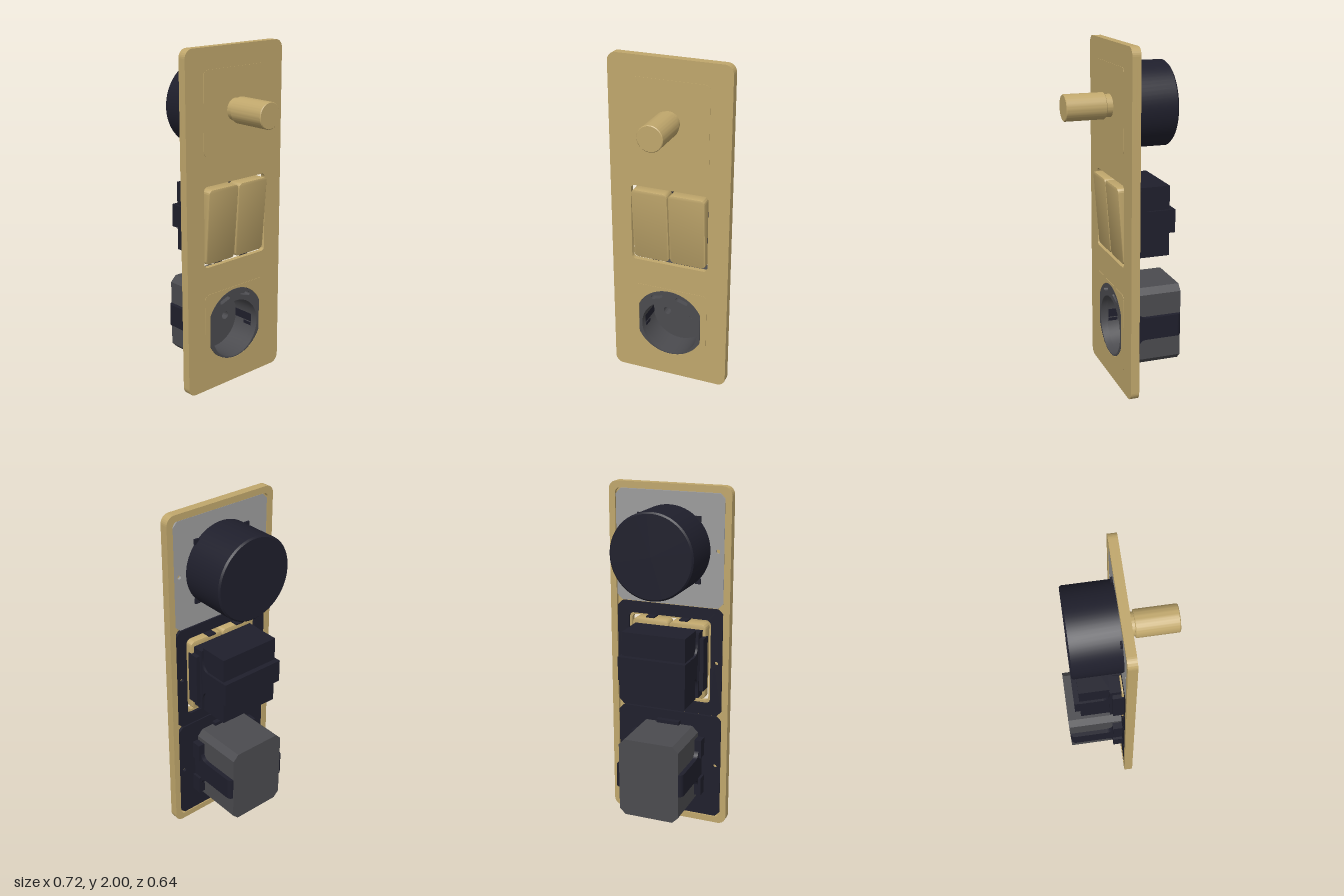
import * as THREE from 'three';
import { toCreasedNormals } from 'three/addons/utils/BufferGeometryUtils.js';

const material = (name, color) => {
  const m = new THREE.MeshStandardMaterial({ color });
  m.name = name;
  return m;
};

// Rectangle with rounded corners, centred on (cx, cy)
function roundRect(cx, cy, w, h, r, Type = THREE.Shape) {
  const s = new Type(), x = w / 2, y = h / 2;
  s.absarc(cx + x - r, cy + y - r, r, 0, Math.PI / 2);
  s.absarc(cx - x + r, cy + y - r, r, Math.PI / 2, Math.PI);
  s.absarc(cx - x + r, cy - y + r, r, Math.PI, Math.PI * 1.5);
  s.absarc(cx + x - r, cy - y + r, r, Math.PI * 1.5, Math.PI * 2);
  s.closePath();
  return s;
}

// Rectangle with cut corners
function cutRect(cx, cy, w, h, c) {
  const x = w / 2, y = h / 2;
  return new THREE.Shape([[x, y - c], [x - c, y], [c - x, y], [-x, y - c], [-x, c - y], [c - x, -y], [x - c, -y], [x, c - y]]
    .map(([a, b]) => new THREE.Vector2(cx + a, cy + b)));
}

function circle(x, y, r) {
  const p = new THREE.Path();
  p.absarc(x, y, r, 0, Math.PI * 2);
  return p;
}

// Circle with flattened left and right sides
function flatCircle(r, half, cy, Type = THREE.Shape) {
  const a = Math.acos(half / r), s = new Type();
  s.absarc(0, cy, r, a, Math.PI - a);
  s.absarc(0, cy, r, Math.PI + a, Math.PI * 2 - a);
  s.closePath();
  return s;
}

// Slanted slot with round ends
function slot(cx, cy, len, r, angle) {
  const p = new THREE.Path(), dx = Math.cos(angle) * len / 2, dy = Math.sin(angle) * len / 2;
  p.absarc(cx + dx, cy + dy, r, angle - Math.PI / 2, angle + Math.PI / 2);
  p.absarc(cx - dx, cy - dy, r, angle + Math.PI / 2, angle + Math.PI * 1.5);
  p.closePath();
  return p;
}

export function createModel() {
  const root = new THREE.Group();
  root.name = 'wallPanel';
  const brass = material('brass', 0xc0a76c);
  const black = material('black', 0x1f1f2c);
  const charcoal = material('charcoal', 0x4b4b4f);
  const steel = material('steel', 0x9c9c9c);

  const add = (name, geo, mat) => {
    const m = new THREE.Mesh(geo, mat);
    m.name = name;
    root.add(m);
    return m;
  };
  const slab = (name, shape, z0, z1, mat, holes = []) => {
    shape.holes.push(...holes);
    const g = new THREE.ExtrudeGeometry(shape, { depth: z1 - z0, bevelEnabled: false, curveSegments: 24 });
    g.translate(0, 0, z0);
    return add(name, toCreasedNormals(g, 0.5), mat);
  };
  const box = (name, x, y, z, w, h, d, mat) =>
    add(name, new THREE.BoxGeometry(w, h, d).translate(x, y, z), mat);
  // Solid of revolution along z, profile given as [radius, z]
  const turned = (name, y, profile, mat) => {
    const g = new THREE.LatheGeometry(profile.map(p => new THREE.Vector2(...p)), 64);
    g.rotateX(Math.PI / 2).translate(0, y, 0);
    return add(name, toCreasedNormals(g, 0.5), mat);
  };

  const dialY = 1.645, switchY = 1.002, socketY = 0.365, cupY = 0.33;
  const socketHole = () => flatCircle(0.219, 0.197, socketY, THREE.Path);
  const switchHole = () => roundRect(0, switchY, 0.47, 0.475, 0.025, THREE.Path);

  // Front plate and the rim around its hollow back
  slab('frontPlate', roundRect(0, 1, 0.72, 2, 0.05), 0.02, 0.05, brass, [switchHole(), socketHole()]);
  slab('plateRim', roundRect(0, 1, 0.72, 2, 0.05), 0, 0.02, brass,
    [roundRect(0, 1, 0.645, 1.925, 0.03, THREE.Path)]);

  // Slightly proud square fields round the dial and the socket
  slab('dialField', roundRect(0, dialY, 0.47, 0.47, 0.03), 0.05, 0.052, brass);
  slab('socketField', roundRect(0, socketY, 0.47, 0.47, 0.03), 0.05, 0.052, brass, [socketHole()]);

  // Mounting panels in the back
  const screwHoles = y => [circle(-0.285, y, 0.012), circle(0.285, y, 0.012)];
  slab('dialMount', cutRect(0, 1.642, 0.64, 0.635, 0.03), 0.004, 0.02, steel, screwHoles(dialY));
  slab('switchMount', cutRect(0, 1, 0.64, 0.635, 0.03), 0.004, 0.02, black,
    [roundRect(0, switchY, 0.5, 0.5, 0.03, THREE.Path), ...screwHoles(switchY)]);
  slab('socketMount', cutRect(0, 0.358, 0.64, 0.635, 0.03), 0.004, 0.02, black,
    [socketHole(), ...screwHoles(socketY)]);

  // Dimmer: knob, neck and housing
  turned('knobNeck', dialY, [[0.064, 0.045], [0.064, 0.095]], brass);
  turned('knob', dialY, [[0, 0.088], [0.071, 0.088], [0.075, 0.092], [0.075, 0.316], [0.071, 0.32], [0, 0.32]], brass);
  turned('dimmerHousing', dialY,
    [[0, -0.267], [0.232, -0.267], [0.241, -0.258], [0.241, 0.01], [0, 0.01]], black);
  for (let i = 0; i < 4; i++) {
    const a = Math.PI / 4 + i * Math.PI / 2;
    box('dimmerLug', 0.245 * Math.cos(a), dialY + 0.245 * Math.sin(a), 0.002, 0.03, 0.03, 0.02, black);
  }

  // Twin rockers, tilted outwards at the top
  for (const side of [-1, 1]) {
    const g = new THREE.ExtrudeGeometry(roundRect(side * 0.1125, switchY, 0.211, 0.437, 0.022),
      { depth: 0.042, bevelThickness: 0.004, bevelSize: 0.004, bevelSegments: 2, curveSegments: 10 });
    const p = g.attributes.position;
    for (let i = 0; i < p.count; i++)
      if (p.getZ(i) > 0.02) p.setZ(i, p.getZ(i) + 0.036 * (p.getY(i) - 0.78) / 0.445);
    g.computeVertexNormals();
    add(side < 0 ? 'rightRocker' : 'leftRocker', toCreasedNormals(g, 0.5), brass);
    box('rockerSideGuide', side * 0.217, switchY, -0.02, 0.024, 0.31, 0.07, black);
  }

  // Switch mechanism
  box('switchCollar', 0, switchY, -0.036, 0.41, 0.385, 0.068, black);
  box('switchBody', 0, switchY, -0.152, 0.375, 0.41, 0.175, black);
  box('switchBand', 0, switchY, -0.17, 0.4, 0.135, 0.2, black);
  for (const y of [0.763, 1.247])
    for (const x of [-0.1, 0.1]) box('switchTab', x, y, -0.01, 0.05, 0.008, 0.06, black);

  // Side strap that widens towards the plate
  const strap = (name, side, xIn, y, thin, wide, zFront, zFlare, zBack, thick) => {
    const s = new THREE.Shape(), r = (wide - thin) * 0.7;
    s.moveTo(-zFront, wide);
    s.lineTo(-zFlare, wide);
    s.quadraticCurveTo(-zFlare, thin, -zFlare + r, thin);
    s.lineTo(-zBack, thin);
    s.lineTo(-zBack, -thin);
    s.lineTo(-zFlare + r, -thin);
    s.quadraticCurveTo(-zFlare, -thin, -zFlare, -wide);
    s.lineTo(-zFront, -wide);
    s.closePath();
    const g = new THREE.ExtrudeGeometry(s, { depth: thick, bevelEnabled: false, curveSegments: 12 });
    g.rotateY(Math.PI / 2).translate(side > 0 ? xIn : -xIn - thick, y, 0);
    add(name, toCreasedNormals(g, 0.5), black);
  };
  for (const side of [-1, 1]) {
    strap('switchStrap', side, 0.185, switchY, 0.067, 0.14, 0, -0.07, -0.24, 0.016);
    strap('socketStrap', side, 0.175, socketY, 0.067, 0.14, 0.004, -0.05, -0.295, 0.03);
    // Rounded end where the strap hooks onto the box
    const hook = new THREE.CylinderGeometry(0.027, 0.027, 0.134, 20).translate(side * 0.178, socketY, -0.292);
    add('strapHook', hook, black);
    for (const dy of [-0.12, 0.12])
      box('socketSideClip', side * 0.195, socketY + dy, -0.024, 0.05, 0.11, 0.06, black);
  }
  for (const y of [0.117, 0.613]) box('socketEndClip', 0, y, -0.008, 0.14, 0.02, 0.035, black);

  // Socket: face, round cup, floor with contact holes, closed box behind
  const cup = () => circle(0, cupY, 0.177);
  const shell = () => cutRect(0, socketY, 0.36, 0.47, 0.035);
  slab('socketFace', flatCircle(0.217, 0.195, socketY), 0.012, 0.052, charcoal,
    [cup(), slot(-0.08, 0.533, 0.055, 0.012, 0.32), slot(0.08, 0.533, 0.055, 0.012, -0.32)]);
  slab('socketCup', shell(), -0.13, 0.012, charcoal, [cup()]);
  slab('socketFloor', shell(), -0.19, -0.13, charcoal,
    [circle(-0.085, cupY, 0.025), circle(0.085, cupY, 0.025)]);
  slab('socketBox', shell(), -0.32, -0.19, charcoal);

  return root;
}
